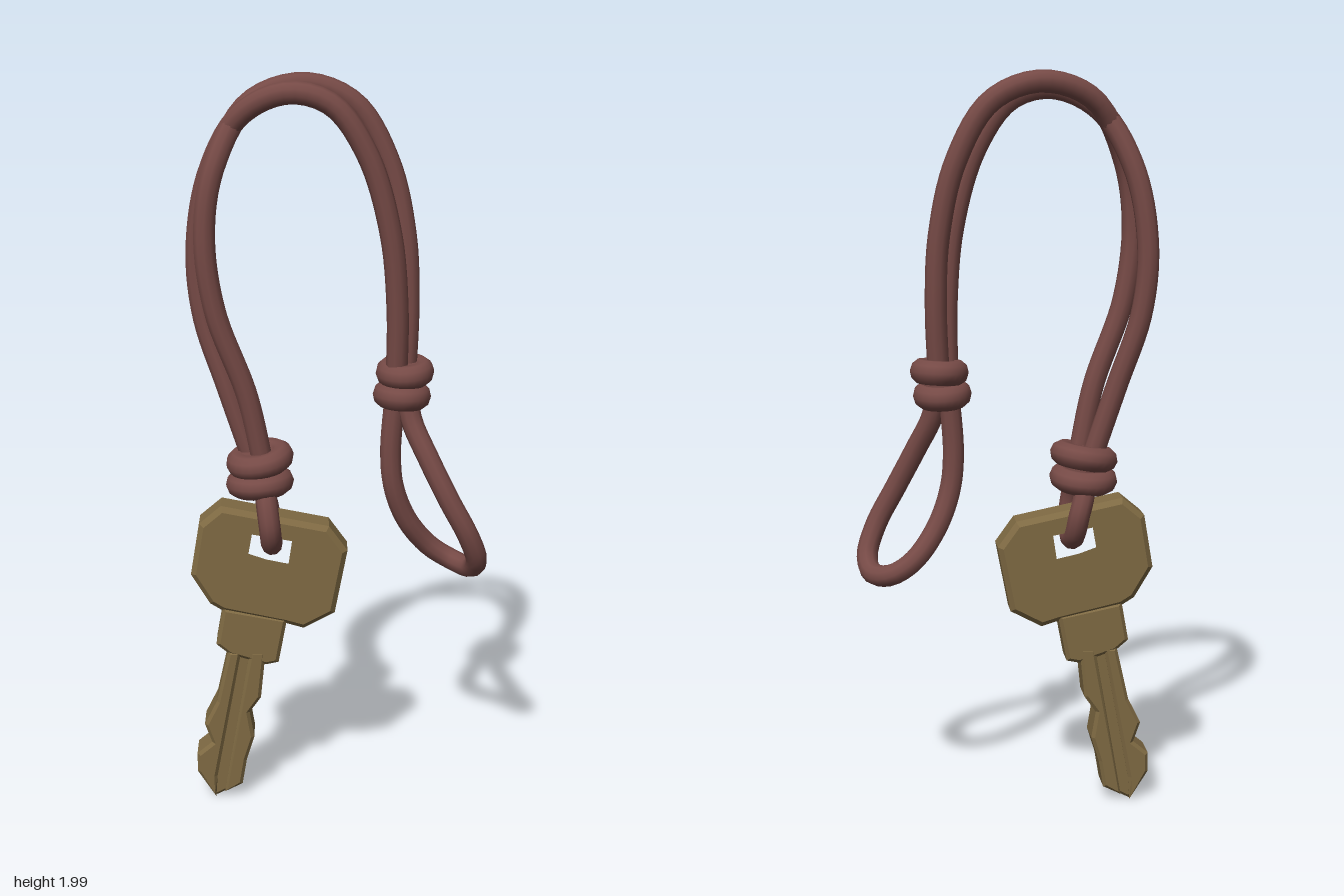
import * as THREE from 'three';

const cord = new THREE.MeshStandardMaterial({ color: 0x764a46 });
cord.name = 'brown cord';
const brass = new THREE.MeshStandardMaterial({ color: 0x7f6a43 });
brass.name = 'old brass';
const KEY_Z = 0.009; // middle plane of the key

function add(parent, name, geometry, material) {
  const mesh = new THREE.Mesh(geometry, material);
  mesh.name = name;
  parent.add(mesh);
  return mesh;
}

// round cord through a list of points
function rope(parent, name, points, segments) {
  const curve = new THREE.CatmullRomCurve3(points.map((p) => new THREE.Vector3(...p)));
  return add(parent, name, new THREE.TubeGeometry(curve, segments, 0.029, 10), cord);
}

// slab centred on the key plane, with chamfered edges that keep its outline
function slab(parent, name, outline, thickness, bevel, holes = []) {
  const toV = (list) => list.map(([x, y]) => new THREE.Vector2(x, y));
  const shape = new THREE.Shape(toV(outline));
  holes.forEach((h) => shape.holes.push(new THREE.Path(toV(h))));
  const geometry = new THREE.ExtrudeGeometry(shape, {
    depth: thickness - 2 * bevel, bevelEnabled: bevel > 0, bevelThickness: bevel,
    bevelSize: bevel, bevelOffset: -bevel, bevelSegments: 1,
  });
  geometry.translate(0, 0, KEY_Z - thickness / 2 + bevel);
  return add(parent, name, geometry, brass);
}

// two stacked cord wraps around a solid core
function knot(parent, name, position, rx, rz, tilt) {
  const group = new THREE.Group();
  group.name = name;
  const core = add(group, 'knotCore', new THREE.CylinderGeometry(0.055, 0.055, 0.115, 16), cord);
  core.scale.set(rx / 0.09, 1, rz / 0.09);
  [-1, 1].forEach((s) => {
    const wrap = add(group, s < 0 ? 'lowerWrap' : 'upperWrap',
      new THREE.TorusGeometry(0.058, 0.033, 10, 24).rotateX(Math.PI / 2), cord);
    wrap.position.set(s * 0.004, s * 0.031, -s * 0.004);
    wrap.scale.set(rx / 0.091, 1, rz / 0.091);
    wrap.rotation.set(s * 0.06, 0, s * 0.05);
  });
  group.position.set(...position);
  group.rotation.z = tilt;
  parent.add(group);
}

function buildKey() {
  const key = new THREE.Group();
  key.name = 'key';

  // head: recessed panel with the cord hole, framed by a raised rim
  const head = [[-0.32, 0.87], [-0.2, 0.845], [-0.03, 0.81], [0.02, 0.74], [-0.015, 0.56],
    [-0.1, 0.515], [-0.15, 0.53], [-0.32, 0.568], [-0.355, 0.59], [-0.405, 0.675], [-0.38, 0.82]];
  const middle = [-0.19, 0.69];
  const inset = head.map(([x, y]) => [
    middle[0] + (x - middle[0]) * 0.82, middle[1] + (y - middle[1]) * 0.8]);
  const hole = [[-0.238, 0.79], [-0.13, 0.77], [-0.14, 0.705], [-0.2, 0.718], [-0.248, 0.735]];
  slab(key, 'headPanel', head.map(([x, y]) => [
    middle[0] + (x - middle[0]) * 0.95, middle[1] + (y - middle[1]) * 0.95]), 0.084, 0, [hole]);
  slab(key, 'headRim', head, 0.1, 0.014, [inset]);

  // collar between head and blade
  slab(key, 'collar', [[-0.32, 0.58], [-0.145, 0.545], [-0.17, 0.415], [-0.205, 0.408],
    [-0.305, 0.44], [-0.34, 0.47]], 0.096, 0.01);

  // blade: thin core and two thick edges, leaving a groove on each face
  const cuts = [[-0.205, 0.45], [-0.22, 0.31], [-0.252, 0.265], [-0.24, 0.19], [-0.262, 0.12],
    [-0.275, 0.045]];
  const back = [[-0.4, 0.085], [-0.4, 0.14], [-0.358, 0.175], [-0.377, 0.23], [-0.342, 0.3],
    [-0.308, 0.45]];
  slab(key, 'bladeCore', [...cuts, [-0.35, 0.005], ...back], 0.076, 0.008);
  slab(key, 'bladeCutEdge', [...cuts, [-0.325, 0.02], [-0.248, 0.45]], 0.098, 0.009);
  slab(key, 'bladeBackEdge', [[-0.35, 0.005], ...back, [-0.272, 0.45], [-0.345, 0.07]], 0.098, 0.009);
  return key;
}

export function createModel() {
  const model = new THREE.Group();
  model.name = 'keyOnCord';
  model.add(buildKey());

  const lanyard = new THREE.Group();
  lanyard.name = 'lanyard';
  model.add(lanyard);

  // the two long strands, crossing near the top left
  rope(lanyard, 'frontStrand', [[-0.225, 0.95, -0.02], [-0.3, 1.18, -0.03], [-0.36, 1.37, -0.045],
    [-0.374, 1.55, -0.05], [-0.337, 1.75, -0.035], [-0.25, 1.9, 0.005], [-0.13, 1.955, 0.034],
    [-0.02, 1.925, 0.04], [0.07, 1.8, 0.04], [0.13, 1.6, 0.034], [0.15, 1.4, 0.022],
    [0.15, 1.19, 0.005]], 70);
  rope(lanyard, 'backStrand', [[-0.2, 0.95, 0.02], [-0.245, 1.17, 0.03], [-0.325, 1.4, 0.038],
    [-0.348, 1.6, 0.04], [-0.32, 1.77, 0.027], [-0.23, 1.925, -0.03], [-0.09, 1.97, -0.06],
    [0.04, 1.92, -0.064], [0.13, 1.77, -0.06], [0.174, 1.58, -0.05], [0.183, 1.4, -0.042],
    [0.175, 1.19, -0.025]], 70);

  // hanging loop at the free end
  rope(lanyard, 'endLoop', [[0.15, 1.18, -0.01], [0.137, 1.0, -0.008], [0.147, 0.9, -0.012],
    [0.185, 0.8, -0.03], [0.25, 0.715, -0.055], [0.31, 0.677, -0.05], [0.358, 0.672, 0],
    [0.37, 0.71, 0.048], [0.343, 0.79, 0.078], [0.29, 0.89, 0.076], [0.235, 1.0, 0.05],
    [0.19, 1.1, 0.015], [0.18, 1.18, 0]], 60);

  // small loop threaded through the key
  rope(lanyard, 'keyLoop', [[-0.205, 0.95, 0.03], [-0.195, 0.87, 0.075], [-0.188, 0.81, 0.082],
    [-0.185, 0.765, 0.055], [-0.185, 0.752, 0.005], [-0.188, 0.775, -0.045],
    [-0.195, 0.83, -0.07], [-0.21, 0.89, -0.06], [-0.215, 0.95, -0.025]], 36);

  knot(lanyard, 'endKnot', [0.17, 1.19, -0.018], 0.078, 0.09, 0);
  knot(lanyard, 'keyKnot', [-0.215, 0.953, -0.006], 0.092, 0.103, 0.12);
  return model;
}
